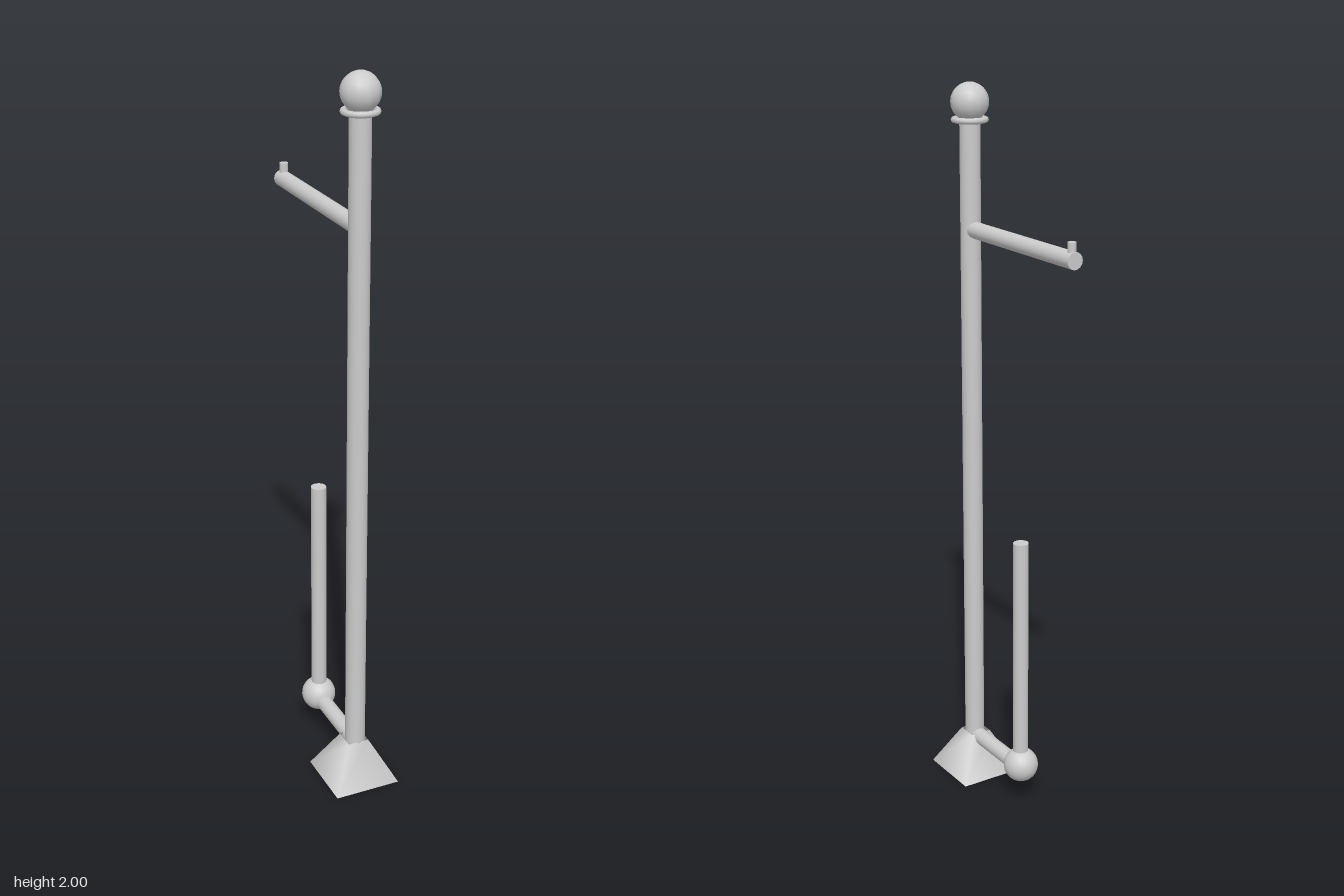
import * as THREE from 'three';

export function createModel() {
  const model = new THREE.Group();
  const material = new THREE.MeshStandardMaterial({ color: 0xcccccc });
  const openMaterial = new THREE.MeshStandardMaterial({ color: 0xcccccc, side: THREE.DoubleSide });

  function add(name, geometry, x, y, z, mat = material) {
    const mesh = new THREE.Mesh(geometry, mat);
    mesh.name = name;
    mesh.position.set(x, y, z);
    model.add(mesh);
    return mesh;
  }

  // Round bar between two points in the x = 0 plane
  function bar(name, radius, y0, z0, y1, z1) {
    const length = Math.hypot(y1 - y0, z1 - z0);
    const geometry = new THREE.CylinderGeometry(radius, radius, length, 16);
    geometry.rotateX(Math.atan2(z1 - z0, y1 - y0));
    return add(name, geometry, 0.001, (y0 + y1) / 2, (z0 + z1) / 2);
  }

  // Hollow square foot, open underneath
  const foot = new THREE.CylinderGeometry(0.03 * Math.SQRT2, 0.094 * Math.SQRT2, 0.12, 4, 1, true);
  foot.rotateY(Math.PI / 4);
  add('foot', foot, 0, 0.06, 0.194, openMaterial);

  // Main post with collar and ball finial
  bar('post', 0.028, 0.005, 0.198, 1.93, 0.198);
  const collar = new THREE.TorusGeometry(0.042, 0.008, 8, 24);
  collar.rotateX(Math.PI / 2);
  add('collar', collar, 0.001, 1.903, 0.198);
  add('finial', new THREE.SphereGeometry(0.051, 12, 12), 0.001, 1.949, 0.198);

  // Upper arm with its end pin
  bar('upperArm', 0.0225, 1.615, 0.18, 1.615, -0.289);
  bar('endPin', 0.0115, 1.62, -0.274, 1.66, -0.274);

  // Lower arm, ball joint and upright rod
  bar('lowerArm', 0.0225, 0.109, 0.19, 0.109, -0.05);
  add('ballJoint', new THREE.SphereGeometry(0.049, 20, 14), 0.001, 0.119, -0.052);
  bar('uprightRod', 0.0215, 0.12, -0.05, 0.796, -0.05);

  return model;
}
